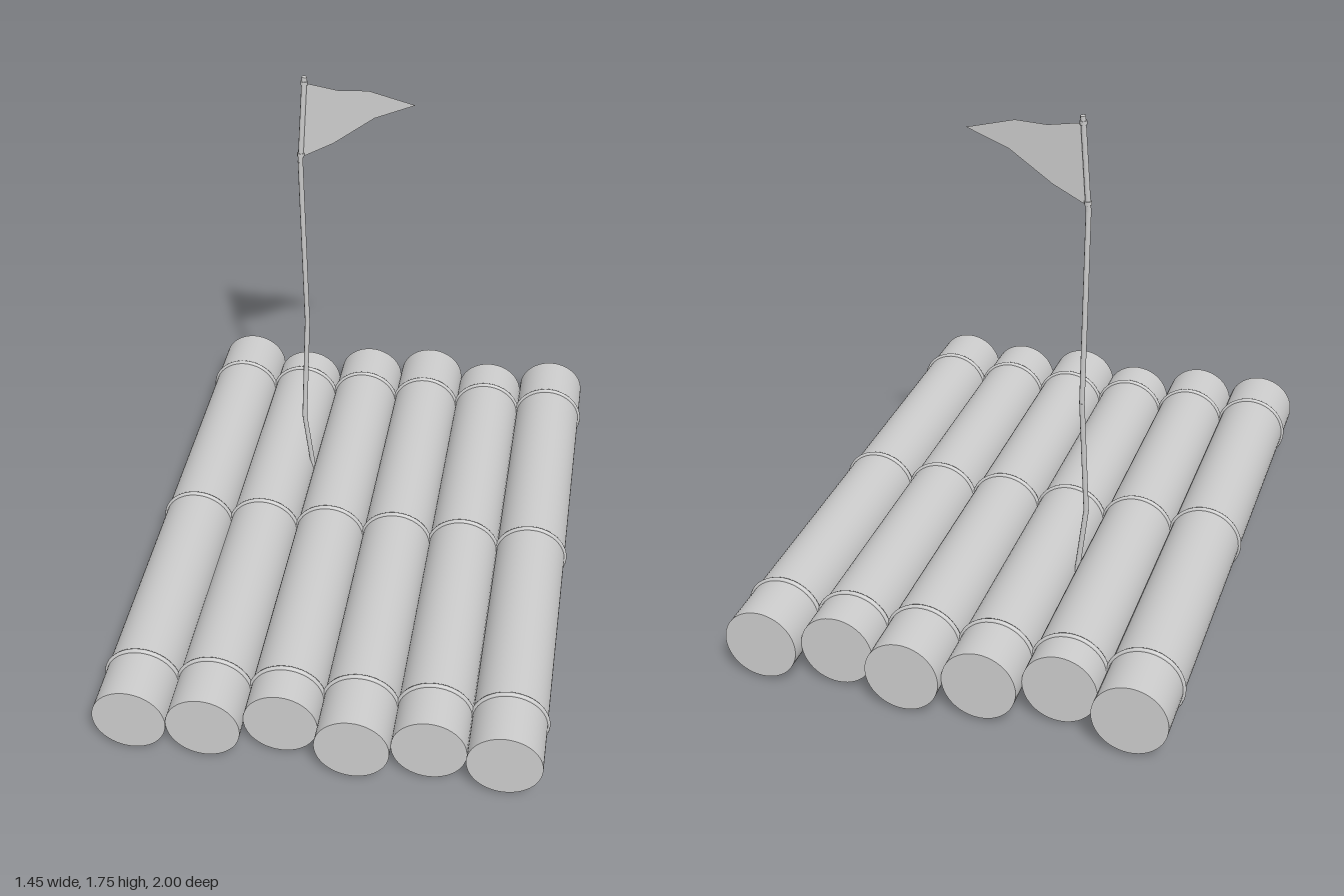
import * as THREE from 'three';

const material = new THREE.MeshStandardMaterial({ color: 0xcccccc });
const sheet = new THREE.MeshStandardMaterial({ color: 0xcccccc, side: THREE.DoubleSide });

function addMesh(parent, name, geometry, mat = material) {
  const mesh = new THREE.Mesh(geometry, mat);
  mesh.name = name;
  parent.add(mesh);
  return mesh;
}

// Cylinder running from point a to point b
function rod(parent, name, a, b, radiusA, radiusB, sides) {
  const dir = b.clone().sub(a);
  const mesh = addMesh(parent, name, new THREE.CylinderGeometry(radiusB, radiusA, dir.length(), sides));
  mesh.position.copy(a).add(b).multiplyScalar(0.5);
  mesh.quaternion.setFromUnitVectors(new THREE.Vector3(0, 1, 0), dir.normalize());
  return mesh;
}

export function createModel() {
  const raft = new THREE.Group();
  raft.name = 'raft';
  const logRadius = 0.12, logY = 0.13;

  // Logs of uneven length (back z, front z), each bound by three rope rings
  const logEnds = [[-0.985, 0.99], [-0.91, 0.985], [-0.97, 0.93], [-1, 1], [-0.94, 0.965], [-0.985, 0.99]];
  const ropeZ = [-0.798, 0.012, 0.803];
  logEnds.forEach(([back, front], i) => {
    const x = -0.601 + i * 0.2395;
    rod(raft, 'log', new THREE.Vector3(x, logY, back), new THREE.Vector3(x, logY, front), logRadius, logRadius, 48);
    for (const z of ropeZ) {
      const ring = addMesh(raft, 'ropeRing', new THREE.TorusGeometry(logRadius, 0.008, 8, 48));
      ring.position.set(x, logY, z);
    }
  });

  // Crooked pole wedged between two logs
  const pole = new THREE.Group();
  pole.name = 'pole';
  raft.add(pole);
  const joints = [
    [-0.243, 0.14, -0.328], [-0.271, 0.39, -0.321], [-0.257, 0.8, -0.339],
    [-0.265, 1.45, -0.323], [-0.248, 1.755, -0.336],
  ].map((p) => new THREE.Vector3(...p));
  for (let i = 0; i < joints.length - 1; i++) {
    rod(pole, 'poleSegment', joints[i], joints[i + 1], 0.009, 0.009, 8);
  }

  // Ties holding the flag to the pole
  for (const t of [0.09, 0.93]) {
    const a = joints[3].clone().lerp(joints[4], t - 0.02);
    const b = joints[3].clone().lerp(joints[4], t + 0.02);
    rod(raft, 'flagTie', a, b, 0.012, 0.012, 8);
  }

  // Ragged pennant, leaning along the pole and flattening toward its tip
  const outline = [[-0.249, 1.733], [-0.14, 1.715], [-0.04, 1.72], [0.113, 1.68],
    [-0.02, 1.625], [-0.155, 1.525], [-0.262, 1.467]].map((p) => new THREE.Vector2(...p));
  const cloth = new THREE.ShapeGeometry(new THREE.Shape(outline));
  const pos = cloth.attributes.position;
  for (let i = 0; i < pos.count; i++) {
    const down = (1.735 - pos.getY(i)) / 0.27;
    const out = (pos.getX(i) + 0.25) / 0.36;
    pos.setZ(i, -0.336 + 0.012 * down - 0.006 * out);
  }
  cloth.computeVertexNormals();
  addMesh(raft, 'flag', cloth, sheet);

  return raft;
}
